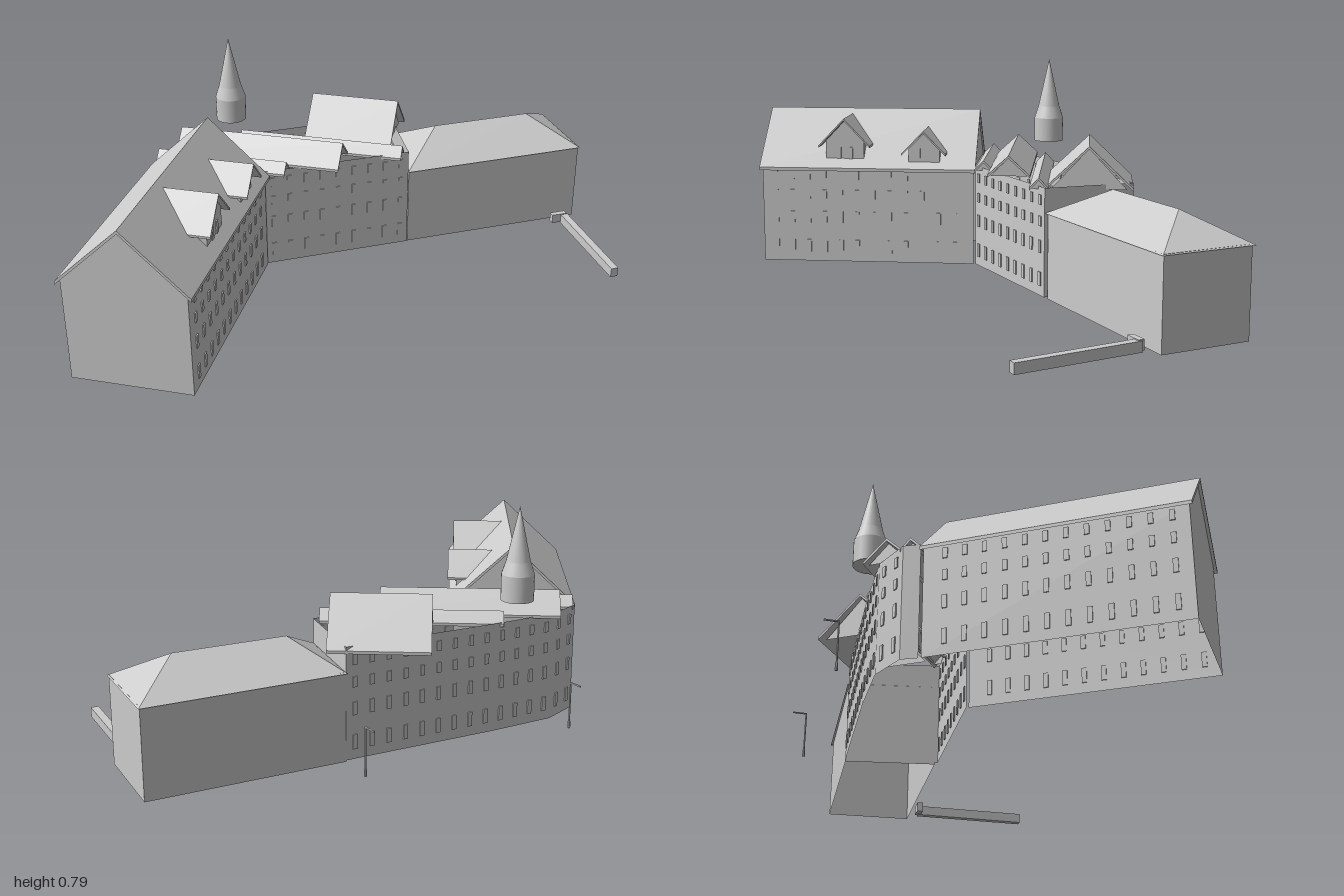
import * as THREE from 'three';
import { mergeGeometries } from 'three/addons/utils/BufferGeometryUtils.js';

const grey = new THREE.MeshStandardMaterial({ color: 0xcccccc, side: THREE.DoubleSide, flatShading: true });
const smooth = new THREE.MeshStandardMaterial({ color: 0xcccccc, side: THREE.DoubleSide });

function add(parent, name, geometry, material = grey) {
  const mesh = new THREE.Mesh(geometry, material);
  mesh.name = name;
  parent.add(mesh);
  return mesh;
}

// Flat polygons, each a list of [x, y, z], drawn as fans
function sheets(polygons) {
  const pos = [];
  for (const p of polygons)
    for (let i = 1; i < p.length - 1; i++) pos.push(...p[0], ...p[i], ...p[i + 1]);
  const g = new THREE.BufferGeometry();
  g.setAttribute('position', new THREE.Float32BufferAttribute(pos, 3));
  g.computeVertexNormals();
  return g;
}

// Upright walls along a ground path of [x, z]
function walls(path, y0, y1) {
  return sheets(path.slice(1).map(([bx, bz], i) => {
    const [ax, az] = path[i];
    return [[ax, y0, az], [bx, y0, bz], [bx, y1, bz], [ax, y1, az]];
  }));
}

// Cross-section [u, y] extruded from a to b, along z or along x
function prism(points, a, b, alongX, offset) {
  const shape = new THREE.Shape(points.map(p => new THREE.Vector2(...p)));
  const g = new THREE.ExtrudeGeometry(shape, { depth: b - a, bevelEnabled: false });
  g.translate(0, 0, a);
  if (alongX) g.rotateY(Math.PI / 2).translate(0, 0, offset);
  else g.translate(offset, 0, 0);
  return g;
}

// Two thin roof slopes
function saddle(half, eave, ridge, a, b, alongX, offset, t = 0.012) {
  return prism([[-half, eave], [-half, eave - t], [0, ridge - t], [half, eave - t], [half, eave], [0, ridge]],
    a, b, alongX, offset);
}

// Rows of narrow windows on the wall from p to q
const FLOORS = [[0.075, 0.05], [0.19, 0.045], [0.28, 0.035], [0.355, 0.035]];
function windows([px, pz], [qx, qz], count, floors = FLOORS, width = 0.016) {
  const list = [];
  for (let i = 0; i < count; i++) {
    const t = (i + 0.5) / count;
    for (const [y, h] of floors)
      list.push(new THREE.BoxGeometry(width, h, 0.008)
        .rotateY(-Math.atan2(qz - pz, qx - px))
        .translate(px + (qx - px) * t, y, pz + (qz - pz) * t));
  }
  return mergeGeometries(list);
}

export function createModel() {
  const model = new THREE.Group();

  // Frame shared by the left wing and the cross roofs
  const angled = new THREE.Group();
  angled.name = 'angledParts';
  angled.rotation.y = -0.39;
  model.add(angled);

  // Left wing, open underneath, with a gable at each end
  const cx = -0.499, xl = cx - 0.21, xr = cx + 0.21, zf = 0.853, zb = 0.03;
  add(angled, 'leftWingWalls', walls([[xl, zb], [xl, zf], [xr, zf], [xr, zb]], 0.015, 0.387));
  add(angled, 'leftWingGables', sheets([zf, zb].map(z => [[xl, 0.387, z], [xr, 0.387, z], [cx, 0.582, z]])));
  add(angled, 'leftWingRoof', saddle(0.225, 0.385, 0.595, 0.023, 0.863, false, cx));
  add(angled, 'leftWingWindows', mergeGeometries([
    windows([xr, zf - 0.02], [xr, zb + 0.04], 12),
    windows([xl, zf - 0.02], [xl, zb + 0.04], 12),
  ]));

  // Dormers on the inner slope
  const dormers = [
    { z: 0.532, half: 0.1, w: 0.074, eave: 0.47, ridge: 0.575, back: -0.478, face: -0.31, front: -0.288 },
    { z: 0.222, half: 0.085, w: 0.06, eave: 0.445, ridge: 0.532, back: -0.432, face: -0.3, front: -0.268 },
  ];
  for (const d of dormers) {
    const top = d.ridge - 0.01 - (d.ridge - d.eave) * d.w / d.half;
    add(angled, 'dormerBody', prism([[-d.w, 0.4], [d.w, 0.4], [d.w, top], [0, d.ridge - 0.01], [-d.w, top]],
      d.back + 0.05, d.face, true, d.z));
    add(angled, 'dormerRoof', saddle(d.half, d.eave, d.ridge, d.back, d.front, true, d.z, 0.008));
    add(angled, 'dormerWindows', windows([d.face, d.z + 0.045], [d.face, d.z - 0.045], 2, [[0.44, 0.045]]));
  }

  // Parallel cross roofs over the middle wing: [z, half width, eave, ridge, start, end]
  const crossRoofs = [
    [-0.014, 0.035, 0.395, 0.43, -0.71, -0.22],
    [-0.12, 0.078, 0.405, 0.477, -0.655, -0.035],
    [-0.238, 0.034, 0.395, 0.432, -0.46, 0.165],
    [-0.41, 0.156, 0.387, 0.535, -0.222, 0.112],
  ];
  for (const [z, half, eave, ridge, a, b] of crossRoofs) {
    add(angled, 'crossRoof', saddle(half, eave, ridge, a, b, true, z, 0.01));
    const w = half * 0.85, y = eave - 0.005;
    add(angled, 'crossRoofGables', sheets([a + 0.02, b - 0.02].map(x =>
      [[x, y, z - w], [x, y, z + w], [x, ridge - 0.01, z]])));
  }

  // Middle wing, walls only
  const front = [[-0.28, -0.09], [0.27, -0.17]];
  const back = [[0.26, -0.505], [-0.29, -0.425], [-0.53, -0.38], [-0.65, -0.305], [-0.664, -0.25]];
  add(model, 'middleWalls', walls([...front, ...back], 0.015, 0.4));
  add(model, 'middleWindows', mergeGeometries([
    windows(front[0], front[1], 9),
    windows(back[0], back[1], 9),
    windows(back[1], back[2], 4),
    windows(back[2], back[3], 2),
  ]));

  // Right wing with a hipped roof
  const eaves = [[0.27, -0.17], [0.98, -0.275], [0.93, -0.61], [0.255, -0.51]];
  const inset = eaves.map(([x, z]) => [0.61 + (x - 0.61) * 0.985, -0.39 + (z + 0.39) * 0.95]);
  add(model, 'rightWingWalls', walls([...inset, inset[0]], 0.01, 0.316));
  const [e0, e1, e2, e3] = eaves.map(([x, z]) => [x, 0.312, z]);
  const r0 = [0.415, 0.41, -0.36], r1 = [0.795, 0.41, -0.415];
  add(model, 'rightWingRoof', sheets([[e0, e1, r1, r0], [e1, e2, r1], [e2, e3, r0, r1], [e3, e0, r0]]));

  // Round turret with a flared spire
  const profile = [[0, 0.475], [0.056, 0.475], [0.056, 0.475], [0.056, 0.565], [0.056, 0.565],
    [0.041, 0.61], [0.041, 0.61], [0, 0.795]].map(p => new THREE.Vector2(...p));
  add(model, 'turret', new THREE.LatheGeometry(profile, 24), smooth).position.set(-0.37, 0, -0.42);

  // Lamp posts behind the building
  for (const [x, z] of [[-0.545, -0.497], [0.245, -0.655]]) {
    const lamp = new THREE.Group();
    lamp.name = 'lampPost';
    lamp.position.set(x, 0, z);
    lamp.rotation.y = 0.27;
    add(lamp, 'pole', new THREE.CylinderGeometry(0.003, 0.003, 0.165, 8).translate(0, 0.103, 0));
    add(lamp, 'base', new THREE.CylinderGeometry(0.005, 0.005, 0.025, 8).translate(0, 0.033, 0));
    add(lamp, 'arm', new THREE.BoxGeometry(0.005, 0.004, 0.05).translate(0, 0.185, -0.023));
    model.add(lamp);
  }

  // Low garden wall with a short return
  const low = add(model, 'gardenWall', new THREE.BoxGeometry(0.028, 0.036, 0.43));
  low.position.set(0.951, 0.024, -0.025);
  low.rotation.set(0.02, 0.145, 0, 'YXZ');
  const stub = add(model, 'gardenWallReturn', new THREE.BoxGeometry(0.06, 0.035, 0.022));
  stub.position.set(0.9, 0.032, -0.232);
  stub.rotation.y = 0.147;

  return model;
}
